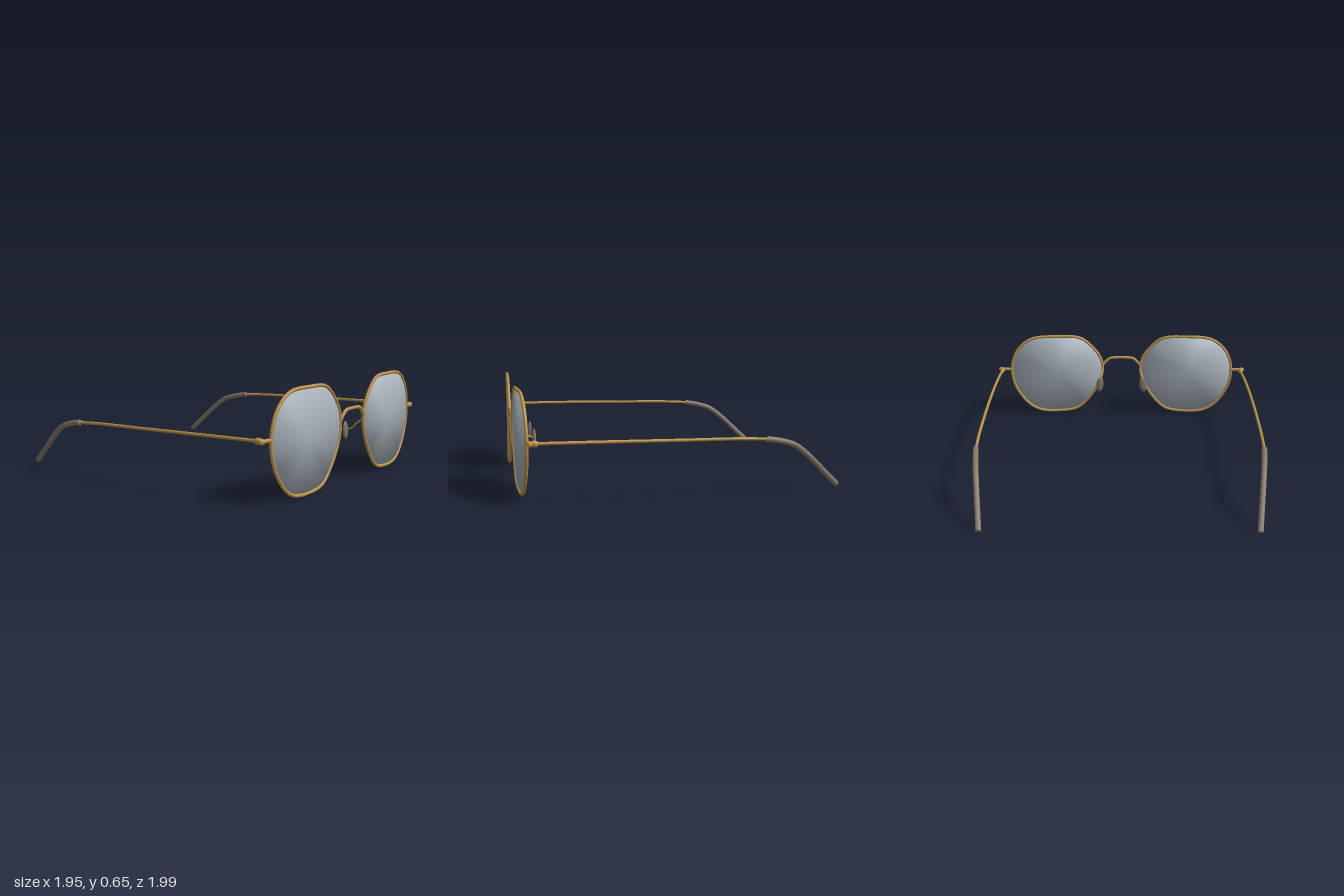
import * as THREE from 'three';

const gold = new THREE.MeshStandardMaterial({ color: 0xb8904a });
gold.name = 'gold wire';
const glass = new THREE.MeshStandardMaterial({ color: 0xa6b0b8 });
glass.name = 'grey glass';
const tipMat = new THREE.MeshStandardMaterial({ color: 0x82786c });
tipMat.name = 'taupe plastic';

const V = (x, y, z) => new THREE.Vector3(x, y, z);
// gentle wrap of the whole front
const frontZ = (x) => 0.983 - 0.042 * x * x;

function add(group, name, geometry, material) {
  const mesh = new THREE.Mesh(geometry, material);
  mesh.name = name;
  group.add(mesh);
  return mesh;
}

// round wire through points, with flat end caps
function wire(group, name, points, radius, material, segments = 32) {
  const curve = new THREE.CatmullRomCurve3(points, false, 'centripetal');
  add(group, name, new THREE.TubeGeometry(curve, segments, radius, 12), material);
  for (const t of [0, 1]) {
    const cap = add(group, name + 'Cap', new THREE.CircleGeometry(radius, 12), material);
    const dir = curve.getTangent(t).multiplyScalar(t ? 1 : -1);
    cap.position.copy(curve.getPoint(t));
    cap.quaternion.setFromUnitVectors(V(0, 0, 1), dir);
  }
}

function ellipsoid(group, name, center, rx, ry, rz, material) {
  const mesh = add(group, name, new THREE.SphereGeometry(1, 20, 14).scale(rx, ry, rz), material);
  mesh.position.copy(center);
  return mesh;
}

// soft hexagonal rim outline, counter-clockwise from the outer side
const outline = [
  [0.872, 0.385], [0.838, 0.51], [0.77, 0.59], [0.69, 0.632], [0.51, 0.643], [0.335, 0.632],
  [0.255, 0.58], [0.172, 0.475], [0.15, 0.385], [0.175, 0.27], [0.265, 0.125], [0.36, 0.04],
  [0.51, 0.016], [0.66, 0.03], [0.755, 0.09], [0.85, 0.24],
];

// thin lens: front and back fans with softly rounded normals
function lensGeometry(curve) {
  const n = 64, pos = [], nor = [], idx = [];
  const edge = curve.getSpacedPoints(n).slice(0, n);
  const c = edge.reduce((a, p) => a.add(p), V(0, 0, 0)).divideScalar(n);
  for (const f of [1, -1]) {
    const base = pos.length / 3;
    pos.push(c.x, c.y, c.z + (f > 0 ? 0.011 : 0.003));
    nor.push(0, 0, f);
    edge.forEach((p, i) => {
      const d = V(p.x - c.x, p.y - c.y, 0).normalize().multiplyScalar(0.8);
      pos.push(p.x, p.y, p.z + f * 0.002);
      nor.push(d.x, d.y, 0.6 * f);
      const a = base + 1 + i, b = base + 1 + ((i + 1) % n);
      idx.push(base, f > 0 ? a : b, f > 0 ? b : a);
    });
  }
  const g = new THREE.BufferGeometry();
  g.setAttribute('position', new THREE.Float32BufferAttribute(pos, 3));
  g.setAttribute('normal', new THREE.Float32BufferAttribute(nor, 3));
  g.setIndex(idx);
  return g;
}

function buildSide(s) {
  const side = new THREE.Group();
  side.name = s > 0 ? 'leftSide' : 'rightSide';

  // rim and lens
  const pts = outline.map(([x, y]) => V(s * x, y, frontZ(x)));
  if (s < 0) pts.reverse();
  const rimCurve = new THREE.CatmullRomCurve3(pts, true, 'centripetal');
  add(side, 'rim', new THREE.TubeGeometry(rimCurve, 96, 0.011, 10, true), gold);
  add(side, 'lens', lensGeometry(rimCurve), glass);

  // end piece and hinge
  wire(side, 'endPiece', [V(s * 0.87, 0.38, 0.949), V(s * 0.95, 0.38, 0.943)], 0.012, gold, 4);
  ellipsoid(side, 'endKnob', V(s * 0.952, 0.38, 0.942), 0.023, 0.019, 0.016, gold);
  ellipsoid(side, 'hinge', V(s * 0.943, 0.38, 0.915), 0.018, 0.02, 0.03, gold);

  // temple wire and its curved sleeve
  wire(side, 'temple', [
    V(s * 0.943, 0.381, 0.92), V(s * 0.952, 0.38, 0.7), V(s * 0.954, 0.376, 0.4),
    V(s * 0.948, 0.369, 0.05), V(s * 0.936, 0.362, -0.3), V(s * 0.924, 0.35, -0.52),
  ], 0.01, gold, 40);
  wire(side, 'templeTip', [
    V(s * 0.927, 0.353, -0.48), V(s * 0.914, 0.335, -0.58), V(s * 0.899, 0.301, -0.68),
    V(s * 0.883, 0.225, -0.78), V(s * 0.867, 0.13, -0.88), V(s * 0.851, 0.035, -0.98),
  ], 0.018, tipMat, 40);

  // nose pad on its bent arm
  wire(side, 'padArm', [
    V(s * 0.15, 0.37, 0.975), V(s * 0.158, 0.345, 0.935),
    V(s * 0.17, 0.305, 0.89), V(s * 0.172, 0.29, 0.85),
  ], 0.006, gold, 20);
  const pad = ellipsoid(side, 'nosePad', V(s * 0.17, 0.288, 0.846), 0.028, 0.06, 0.013, tipMat);
  pad.rotation.z = s * 0.12;
  return side;
}

export function createModel() {
  const model = new THREE.Group();
  model.name = 'sunglasses';
  model.add(buildSide(1), buildSide(-1));

  // arched bridge
  wire(model, 'bridge', [
    V(-0.152, 0.4, 0.983), V(-0.125, 0.432, 0.985), V(-0.09, 0.459, 0.987), V(-0.045, 0.465, 0.988),
    V(0.045, 0.465, 0.988), V(0.09, 0.459, 0.987), V(0.125, 0.432, 0.985), V(0.152, 0.4, 0.983),
  ], 0.011, gold, 48);
  return model;
}
